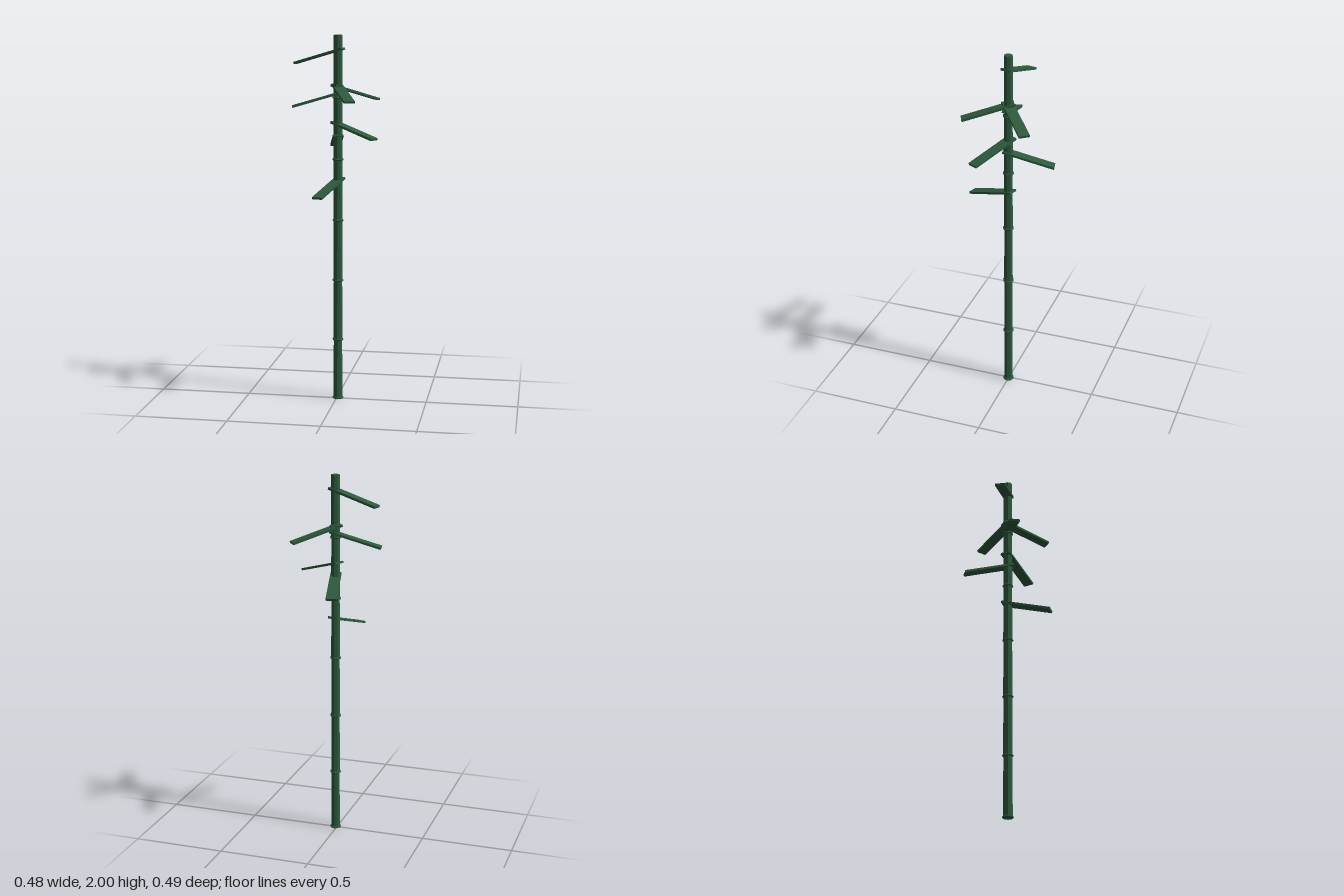
import * as THREE from 'three';

const SIDES = 8;
const SEGMENTS = 6;
const STEP = 0.3325;
const AXIS_X = 0.008;

// Leaf tips: x and z measured from the stalk axis, y where the leaf crosses the axis
const LEAVES = [
  [-0.243, -0.045, 1.921],
  [0.099, 0.228, 1.728],
  [0.195, -0.157, 1.725],
  [-0.243, 0.036, 1.691],
  [0.218, 0.125, 1.528],
  [-0.055, -0.242, 1.459],
  [-0.074, 0.237, 1.224],
];

export function createModel() {
  const model = new THREE.Group();
  model.name = 'bambooPlant';
  const green = new THREE.MeshStandardMaterial({ color: 0x2d5a3d, flatShading: true });
  green.name = 'dark green';

  const add = (name, geometry, parent = model) => {
    const mesh = new THREE.Mesh(geometry, green);
    mesh.name = name;
    parent.add(mesh);
    return mesh;
  };

  // Stalk: gently tapered segments, each with a node ring at its foot
  const segment = new THREE.CylinderGeometry(0.0235, 0.0255, STEP, SIDES);
  const ring = new THREE.TorusGeometry(0.0245, 0.0065, 6, SIDES);
  ring.rotateX(Math.PI / 2).rotateY(Math.PI / 2);
  for (let i = 0; i < SEGMENTS; i++) {
    const foot = 0.0065 + i * STEP;
    add('stalkSegment', segment).position.set(AXIS_X, foot + STEP / 2, 0);
    add('nodeRing', ring).position.set(AXIS_X, foot, 0);
  }

  // Leaves: thin slats through the stalk, drooping outwards
  const leafShape = new THREE.BoxGeometry(0.286, 0.012, 0.058);
  leafShape.translate(0.112, 0, 0).rotateZ(-0.28);
  for (const [x, z, y] of LEAVES) {
    const leaf = add('leaf', leafShape);
    leaf.position.set(AXIS_X, y, 0);
    leaf.rotation.y = Math.atan2(-z, x);
  }
  return model;
}
